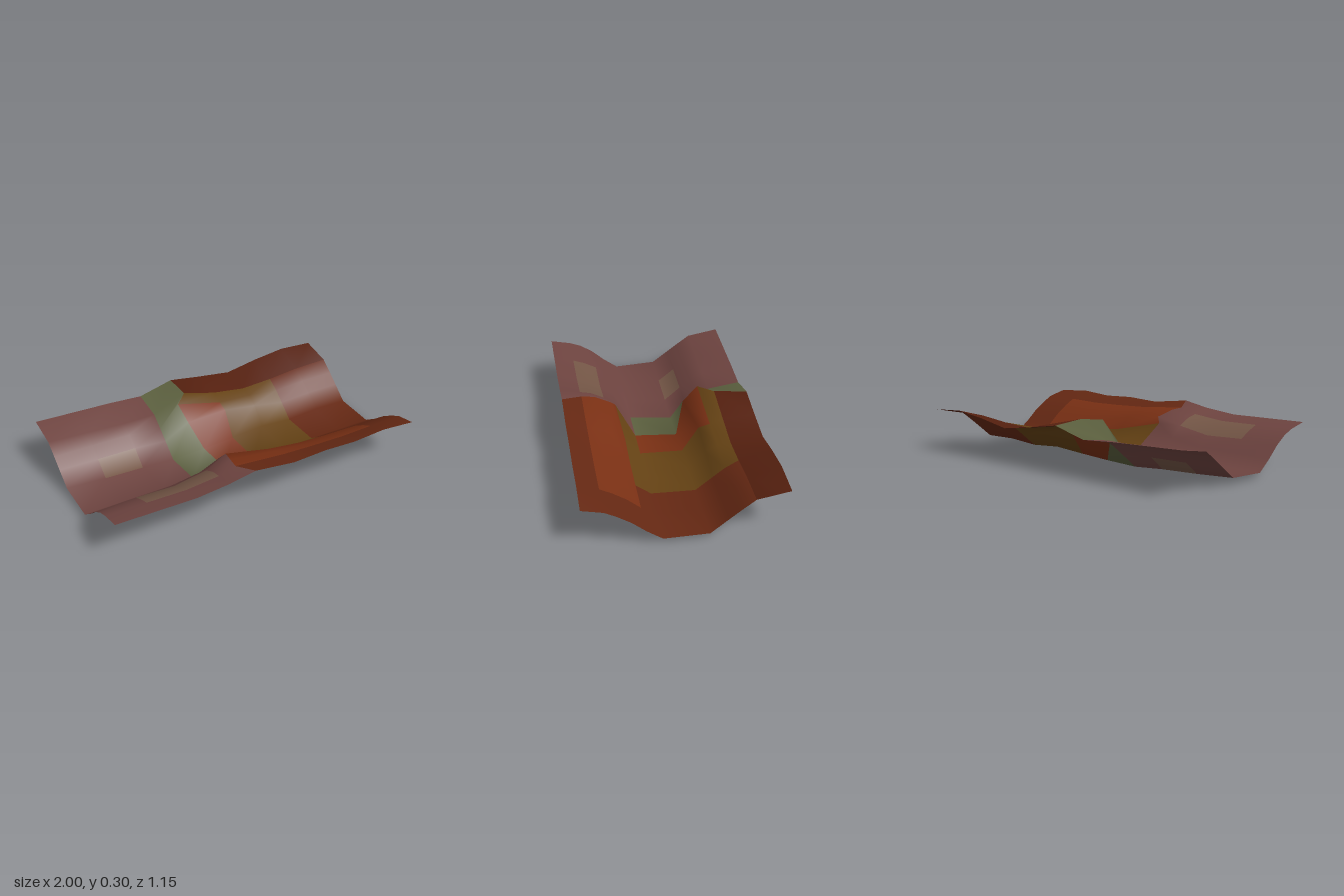
import * as THREE from 'three';

// Stations along the valley and rows across it, front bank to back bank
const stations = [-1, -0.75, -0.5, -0.29, -0.1, 0.14, 0.36, 0.57, 0.78, 1];
const rows = [0.575, 0.45, 0.38, 0.3, 0.22, 0.13, -0.13, -0.23, -0.3, -0.38, -0.575];

// The divide is a crooked ridge line with steep, bulging shoulders
const divide = 4;
const divideX = [-0.12, -0.18, -0.17, -0.14, -0.17, -0.07, -0.07, -0.15, -0.17, -0.08, -0.07];
const divideZ = [0.575, 0.45, 0.37, 0.265, 0.24, 0.13, -0.13, -0.185, -0.28, -0.37, -0.575];

// Height of each cross-section, one line per station
const sections = [
  [0.26, 0.235, 0.21, 0.16, 0.09, 0.025, 0.04, 0.115, 0.168, 0.225, 0.26],
  [0.255, 0.23, 0.205, 0.165, 0.095, 0.025, 0.025, 0.105, 0.165, 0.21, 0.25],
  [0.25, 0.225, 0.2, 0.155, 0.095, 0.025, 0.015, 0.1, 0.16, 0.195, 0.24],
  [0.27, 0.245, 0.23, 0.19, 0.125, 0.025, 0, 0.08, 0.135, 0.195, 0.225],
  [0.3, 0.275, 0.27, 0.235, 0.2, 0.025, 0.008, 0.2, 0.288, 0.294, 0.28],
  [0.266, 0.245, 0.23, 0.195, 0.13, 0.025, 0.02, 0.175, 0.195, 0.225, 0.245],
  [0.275, 0.235, 0.205, 0.165, 0.095, 0.025, 0.035, 0.14, 0.18, 0.19, 0.213],
  [0.265, 0.23, 0.2, 0.155, 0.09, 0.025, 0.02, 0.1, 0.155, 0.2, 0.25],
  [0.28, 0.235, 0.2, 0.15, 0.085, 0.025, 0.035, 0.11, 0.165, 0.22, 0.275],
  [0.262, 0.235, 0.2, 0.15, 0.085, 0.025, 0.03, 0.11, 0.165, 0.225, 0.26],
];

const colors = {
  mauveGround: 0x6e4440,
  sandyPatches: 0x745646,
  greenDivide: 0x5b5f3e,
  rustGround: 0x652813,
  darkBank: 0x55200f,
  orangePatches: 0x7a3014,
  oliveHollow: 0x654214,
};

// Ground cover of a cell: station i, row j
function coverAt(i, j) {
  if (i < divide) {
    if (i === 3 && j >= 5) return 'greenDivide';
    return (i === 1 || i === 2) && (j === 1 || j === 2) || i === 1 && j === 6 ? 'sandyPatches' : 'mauveGround';
  }
  if (j === 9) return 'darkBank';
  if (i < 7 && j >= 4) return i === 4 && j > 4 && j < 8 ? 'orangePatches' : 'oliveHollow';
  return i < 8 && j >= 1 && j <= 3 ? 'orangePatches' : 'rustGround';
}

// Triangles of all cells that pass the test
function cells(test) {
  const index = [];
  const n = rows.length;
  for (let i = 0; i < stations.length - 1; i++) {
    for (let j = 0; j < n - 1; j++) {
      if (!test(i, j)) continue;
      const a = i * n + j, b = a + n;
      index.push(a, b, b + 1, a, b + 1, a + 1);
    }
  }
  return index;
}

export function createModel() {
  const model = new THREE.Group();
  model.name = 'valleyTerrain';

  // Whole sheet, so that normals run smoothly across the ground covers
  const sheet = new THREE.BufferGeometry();
  const points = [];
  stations.forEach((x, i) => rows.forEach((z, j) => {
    const onDivide = i === divide;
    points.push(onDivide ? divideX[j] : x, sections[i][j], onDivide ? divideZ[j] : z);
  }));
  sheet.setAttribute('position', new THREE.Float32BufferAttribute(points, 3));
  sheet.setIndex(cells(() => true));
  sheet.computeVertexNormals();

  // One mesh per ground cover, sharing the sheet's points
  for (const [name, color] of Object.entries(colors)) {
    const geometry = new THREE.BufferGeometry();
    geometry.setAttribute('position', sheet.getAttribute('position'));
    geometry.setAttribute('normal', sheet.getAttribute('normal'));
    geometry.setIndex(cells((i, j) => coverAt(i, j) === name));
    const mesh = new THREE.Mesh(geometry, new THREE.MeshStandardMaterial({ color, side: THREE.DoubleSide }));
    mesh.name = name;
    model.add(mesh);
  }
  return model;
}
